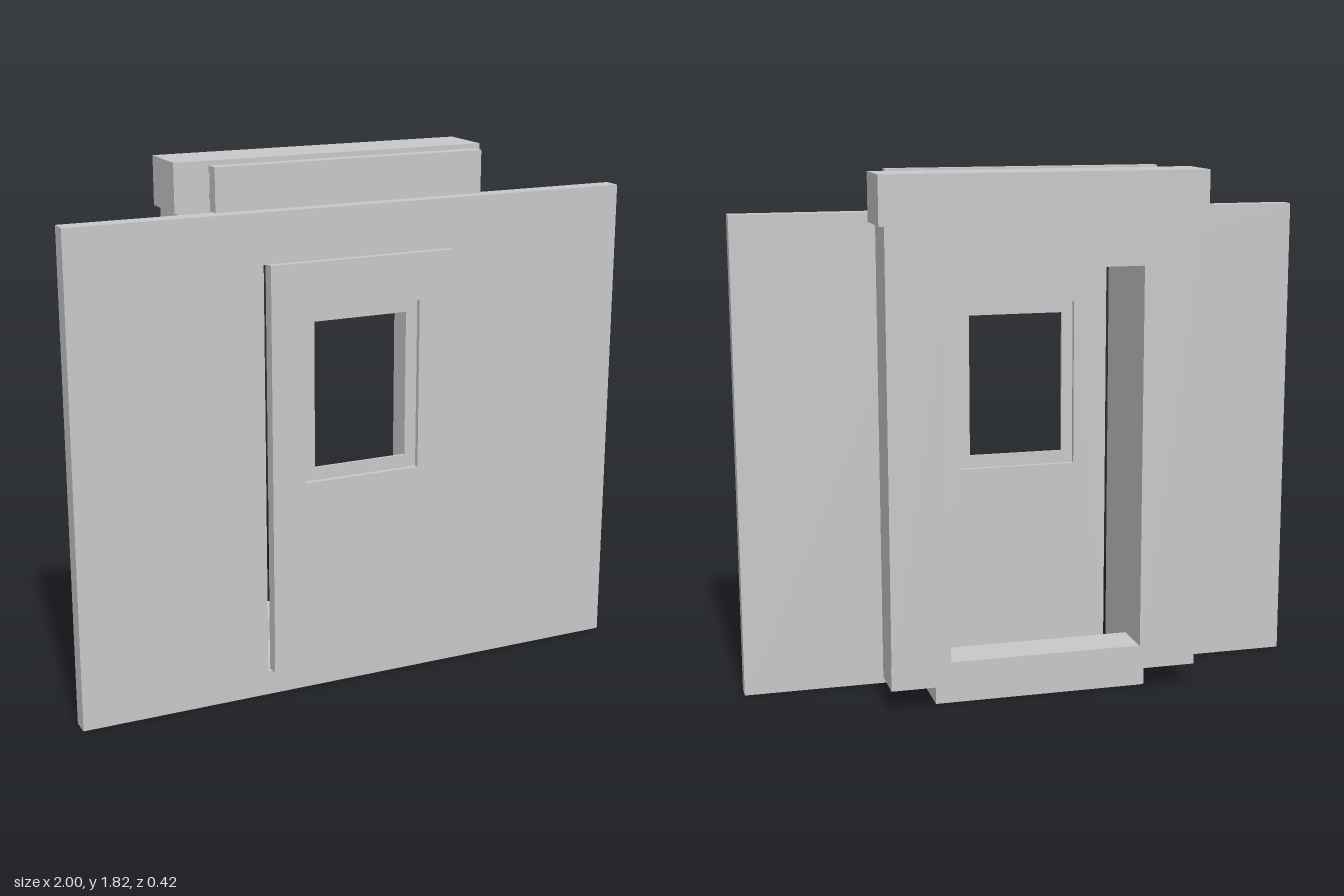
import * as THREE from 'three';

const grey = new THREE.MeshStandardMaterial({ color: 0xc8c8c8 });
grey.name = 'light grey';

// Corners of a rectangle, counter-clockwise
const rect = (x0, x1, y0, y1) =>
  [[x0, y0], [x1, y0], [x1, y1], [x0, y1]].map(([x, y]) => new THREE.Vector2(x, y));

export function createModel() {
  const group = new THREE.Group();

  const add = (name, geometry) => {
    const mesh = new THREE.Mesh(geometry, grey);
    mesh.name = name;
    group.add(mesh);
  };

  // Box given by its limits on each axis
  const box = (name, x0, x1, y0, y1, z0, z1) => {
    const g = new THREE.BoxGeometry(x1 - x0, y1 - y0, z1 - z0);
    g.translate((x0 + x1) / 2, (y0 + y1) / 2, (z0 + z1) / 2);
    add(name, g);
  };

  // Outline extruded from z0 to z1, with an optional hole
  const slab = (name, outline, hole, z0, z1) => {
    const shape = new THREE.Shape(outline);
    if (hole) shape.holes.push(new THREE.Path(hole));
    const g = new THREE.ExtrudeGeometry(shape, { depth: z1 - z0, bevelEnabled: false });
    g.translate(0, 0, z0);
    add(name, g);
  };

  // Doorway shared by the wall, the lining and the rear frame
  const L = -0.339, R = 0.335, FLOOR = 0.085, HEAD = 1.5;
  const doorway = rect(L, R, FLOOR, HEAD);

  // Wall and the lining behind it
  slab('wallPanel', rect(-1, 1, 0, 1.67), doorway, 0.122, 0.185);
  slab('doorwayLining', rect(-0.38, 0.373, 0, 1.627), doorway, -0.05, 0.122);
  box('base', -0.38, 0.373, 0, FLOOR, -0.133, -0.05);

  // Rear frame: jambs and lintel in one piece, above a slightly recessed sill
  const frame = [
    [-0.543, 0.17], [L, 0.17], [L, HEAD], [R, HEAD],
    [R, 0.17], [0.54, 0.17], [0.54, 1.65], [-0.543, 1.65],
  ].map(([x, y]) => new THREE.Vector2(x, y));
  slab('rearFrame', frame, null, -0.209, -0.05);
  box('sill', -0.543, 0.54, FLOOR, 0.17, -0.201, -0.05);

  // Header, front rail and the bars joining them
  box('header', -0.565, 0.558, 1.65, 1.815, -0.209, -0.012);
  box('frontRail', -0.483, 0.478, 1.67, 1.815, 0.094, 0.14);
  for (const x of [-0.445, 0.395]) {
    for (const y of [1.692, 1.776]) box('connectingBar', x, x + 0.045, y, y + 0.02, -0.012, 0.094);
  }

  // Door with a thin window surround set into its opening
  const windowOpening = rect(-0.205, 0.215, 0.752, 1.338);
  slab('door', rect(-0.324, 0.34, FLOOR, HEAD), windowOpening, 0.165, 0.209);
  slab('windowSurround', windowOpening, rect(-0.164, 0.173, 0.797, 1.298), 0.182, 0.191);

  return group;
}
